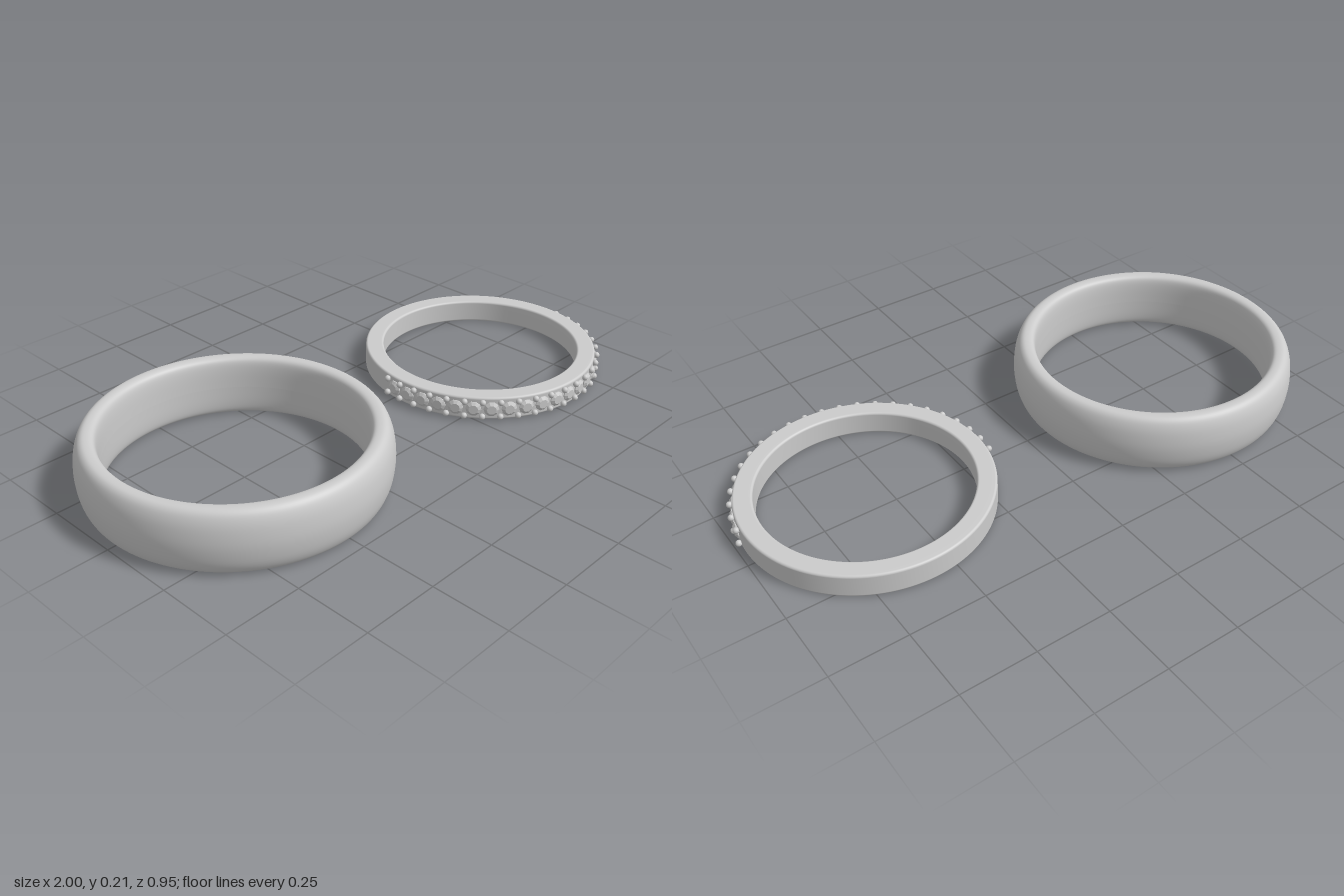
import * as THREE from 'three';

const metal = new THREE.MeshStandardMaterial({ color: 0xcccccc });
const facet = new THREE.MeshStandardMaterial({ color: 0xcccccc, flatShading: true });

function add(parent, name, geometry, material = metal) {
  const mesh = new THREE.Mesh(geometry, material);
  mesh.name = name;
  parent.add(mesh);
  return mesh;
}

// Closed band section with rounded corners, running counter-clockwise
function bandProfile(inner, outer, height, r) {
  const corners = [
    [inner + r, r, Math.PI], [outer - r, r, 1.5 * Math.PI],
    [outer - r, height - r, 0], [inner + r, height - r, 0.5 * Math.PI],
  ];
  const points = [new THREE.Vector2(inner, height / 2)];
  for (const [x, y, start] of corners) {
    for (let i = 0; i <= 8; i++) {
      const a = start + (i / 8) * Math.PI / 2;
      points.push(new THREE.Vector2(x + r * Math.cos(a), y + r * Math.sin(a)));
    }
  }
  points.push(points[0].clone());
  return points;
}

// Domed section: half of it is given from mid inner to mid outer, then mirrored
function domedProfile(height) {
  const half = [
    [0.398, 0.5], [0.399, 0.25], [0.403, 0.09], [0.412, 0.02], [0.428, 0],
    [0.445, 0.015], [0.459, 0.09], [0.47, 0.25], [0.475, 0.5],
  ].map(([x, t]) => new THREE.Vector2(x, t * height));
  const upper = half.slice(0, -1).reverse().map(p => new THREE.Vector2(p.x, height - p.y));
  return new THREE.SplineCurve([...half, ...upper]).getPoints(64);
}

export function createModel() {
  const model = new THREE.Group();
  model.name = 'ringPair';

  // Wide plain ring
  const wide = add(model, 'wideBand', new THREE.LatheGeometry(domedProfile(0.205), 128));
  wide.position.set(-0.525, 0, 0);

  // Narrow ring set with stones around its front half
  const narrow = new THREE.Group();
  narrow.name = 'stoneRing';
  narrow.position.set(0.577, 0, 0.045);
  model.add(narrow);
  const height = 0.081, outer = 0.405;
  add(narrow, 'narrowBand', new THREE.LatheGeometry(bandProfile(0.342, outer, height, 0.008), 128));

  const bead = new THREE.SphereGeometry(0.0105, 14, 10);
  // Brilliant cut: culet, girdle, crown and flat table
  const gem = new THREE.LatheGeometry([
    [0, -0.024], [0.026, 0], [0.026, 0.003], [0.016, 0.01], [0, 0.01],
  ].map(([x, y]) => new THREE.Vector2(x, y)), 10);
  gem.rotateZ(-Math.PI / 2);

  const count = 22, start = 6, step = 8.37;
  const place = (mesh, degrees, radius, y) => {
    const a = THREE.MathUtils.degToRad(degrees);
    mesh.position.set(radius * Math.cos(a), y, radius * Math.sin(a));
    mesh.rotation.y = -a;
  };
  for (let i = 0; i <= count; i++) {
    const angle = start + i * step;
    for (const side of [-1, 1]) {
      place(add(narrow, 'prongBead', bead), angle, 0.412, height / 2 + side * 0.026);
    }
    if (i < count) place(add(narrow, 'stone', gem, facet), angle + step / 2, outer, height / 2);
  }
  return model;
}
